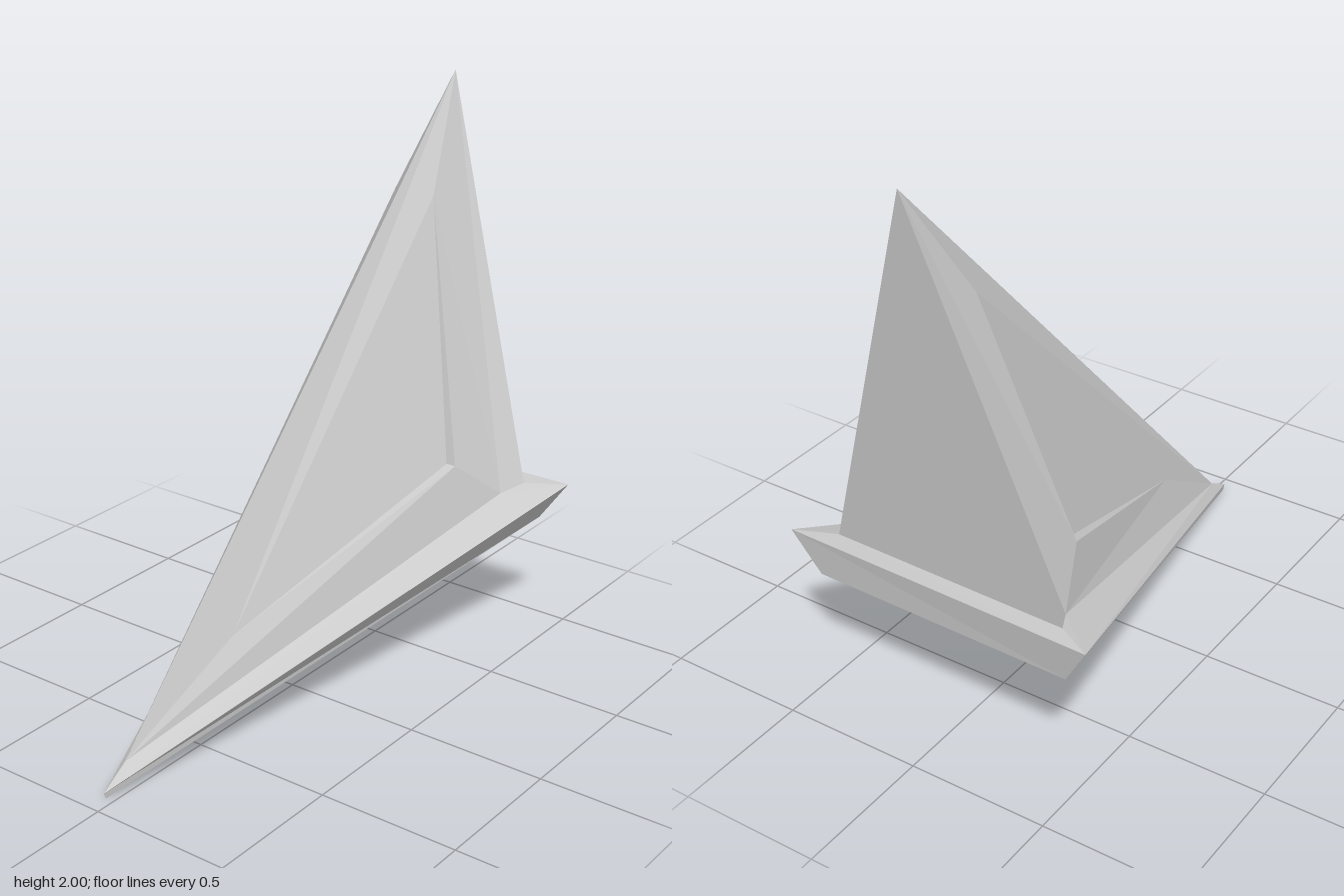
import * as THREE from 'three';

// Shared points on the centre line
const apex = [-0.01, 2, -0.945];
const foot = [-0.035, 0.085, 0.83];   // lower end of the front ridge
const tip = [-0.03, 0.022, 0.94];     // front tip of the base, upper and lower
const under = [-0.03, 0, 0.93];

// Corners of each half (left is +x); the two halves differ slightly
const left = {
  side: [0.385, 0.585, -0.705], back: [0.43, 0.608, -0.787],
  rim: [0.57, 0.615, -0.857], low: [0.47, 0.468, -0.84], keel: [0.31, 0.435, -0.8],
  top: [0.06, 1.61, -0.72], outer: [0.3, 0.725, -0.535], inner: [0.265, 0.725, -0.535],
  front: [0.04, 0.365, 0.375],
};
const right = {
  side: [-0.395, 0.58, -0.71], back: [-0.44, 0.6, -0.795],
  rim: [-0.57, 0.602, -0.867], low: [-0.48, 0.453, -0.84], keel: [-0.32, 0.43, -0.8],
  top: [-0.1, 1.61, -0.72], outer: [-0.32, 0.72, -0.535], inner: [-0.285, 0.72, -0.535],
  front: [-0.09, 0.365, 0.385],
};

const material = new THREE.MeshStandardMaterial({ color: 0xcccccc, flatShading: true });

// Flat faces from corner lists, each split as a fan; flip reverses the winding
function facets(name, faces, flip = false) {
  const positions = [];
  for (const face of faces) {
    const f = flip ? [...face].reverse() : face;
    for (let i = 1; i < f.length - 1; i++) positions.push(...f[0], ...f[i], ...f[i + 1]);
  }
  const geometry = new THREE.BufferGeometry();
  geometry.setAttribute('position', new THREE.Float32BufferAttribute(positions, 3));
  geometry.computeVertexNormals();
  const mesh = new THREE.Mesh(geometry, material);
  mesh.name = name;
  return mesh;
}

export function createModel() {
  const group = new THREE.Group();
  group.name = 'spike';

  for (const [label, p, flip] of [['left', left, false], ['right', right, true]]) {
    group.add(
      // Spire flank framing the recess, with a narrow rear chamfer
      facets(label + 'Flank', [
        [apex, foot, p.front, p.top],
        [foot, p.side, p.outer, p.front],
        [p.side, apex, p.top, p.outer],
        [apex, p.side, p.back],
      ], flip),
      // Recessed triangular panel and its two tapering walls
      facets(label + 'Panel', [
        [p.top, p.front, p.inner],
        [p.front, p.outer, p.inner],
        [p.outer, p.top, p.inner],
      ], flip),
      // Sloping rim, outer edge and lower bevel of the base
      facets(label + 'BaseEdge', [
        [tip, p.rim, p.side, foot],
        [p.rim, p.back, p.side],
        [tip, under, p.low, p.rim],
        [under, p.keel, p.low],
      ], flip),
    );
  }

  group.add(
    facets('spireBack', [[apex, left.back, right.back]]),
    // Rear rim, edge and bevel run straight across between the halves
    facets('baseBack', [['back', 'rim'], ['rim', 'low'], ['low', 'keel']].map(
      ([a, b]) => [left[a], left[b], right[b], right[a]])),
    facets('baseUnderside', [[under, right.keel, left.keel]]),
  );
  return group;
}
